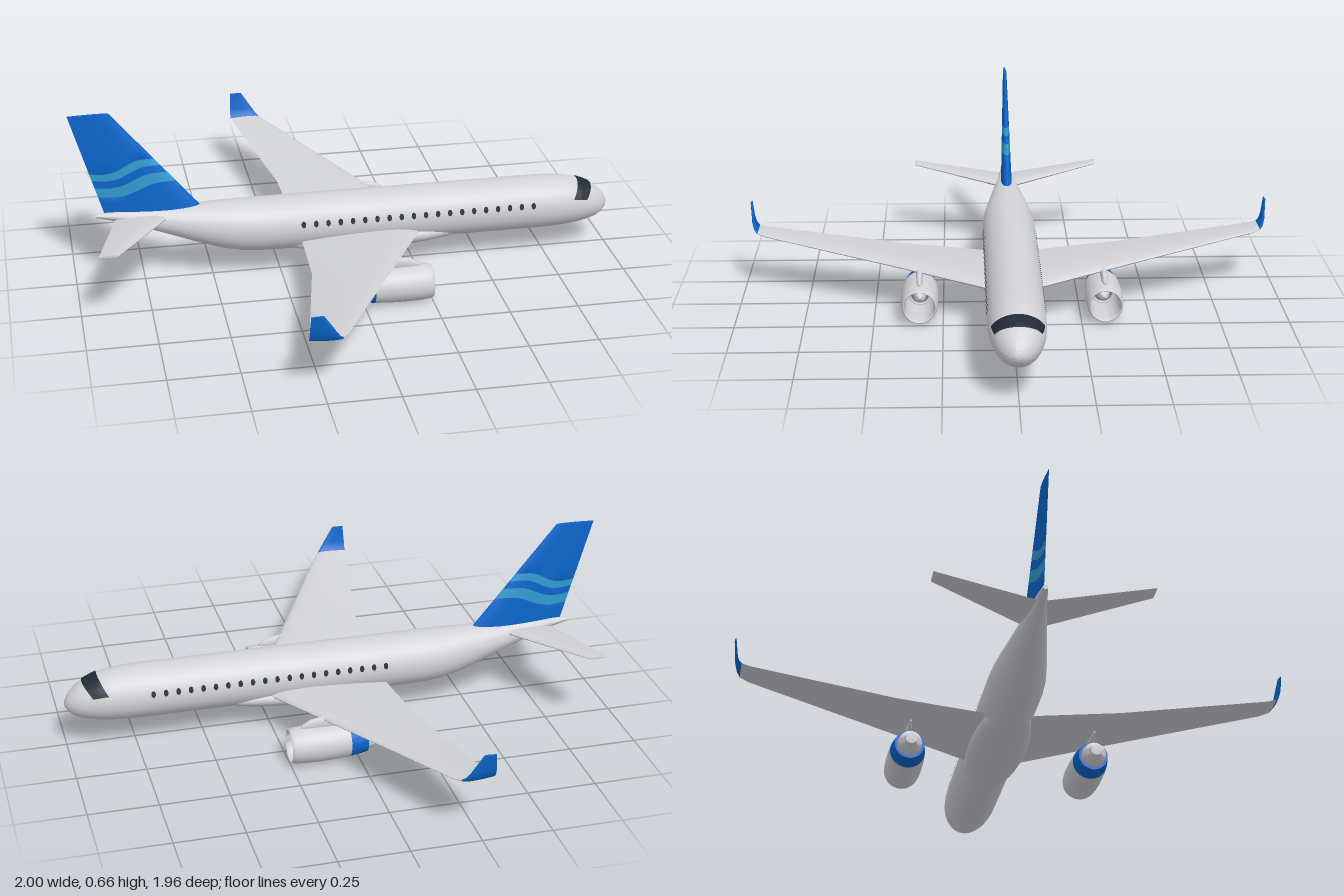
import * as THREE from 'three';
import { toCreasedNormals } from 'three/addons/utils/BufferGeometryUtils.js';

const paint = (name, color) => Object.assign(new THREE.MeshStandardMaterial({ color }), { name });
const lerp = THREE.MathUtils.lerp;

// Skin over a list of rings; each ring runs counter-clockwise about the direction of travel.
function loft(rings, { closed = true, caps = true, flip = false } = {}) {
  const n = rings[0].length, pos = rings.flat(2), idx = [];
  const tri = (a, b, c) => (flip ? idx.push(a, c, b) : idx.push(a, b, c));
  for (let j = 0; j < rings.length - 1; j++) {
    for (let i = 0; i < (closed ? n : n - 1); i++) {
      const a = j * n + i, b = j * n + (i + 1) % n;
      tri(a, b, b + n);
      tri(a, b + n, a + n);
    }
  }
  if (closed && caps) {
    [0, rings.length - 1].forEach((j) => {
      const c = pos.length / 3;
      for (let k = 0; k < 3; k++) pos.push(rings[j].reduce((s, p) => s + p[k], 0) / n);
      for (let i = 0; i < n; i++) {
        const a = j * n + i, b = j * n + (i + 1) % n;
        j ? tri(c, a, b) : tri(c, b, a);
      }
    });
  }
  const g = new THREE.BufferGeometry();
  g.setAttribute('position', new THREE.Float32BufferAttribute(pos, 3));
  g.setIndex(idx);
  return toCreasedNormals(g, 0.9);
}

// Symmetric airfoil outline as [chord fraction, half thickness], nose first and over the top.
const FOIL = Array.from({ length: 28 }, (_, i) => {
  const a = (i / 28) * Math.PI * 2, c = (1 - Math.cos(a)) / 2;
  const h = 5 * (0.2969 * Math.sqrt(c) - 0.126 * c - 0.3516 * c ** 2 + 0.2843 * c ** 3 - 0.1036 * c ** 4);
  return [c, i % 14 === 0 ? 0 : Math.sign(Math.sin(a)) * h];
});

// Wing-like surface: stations are [z, y, leading x, trailing x, thickness, lean].
function wingGeometry(stations, side, caps = true) {
  const rings = stations.map(([z, y, lead, trail, t, lean = 0]) => FOIL.map(([c, h]) => [
    lerp(lead, trail, c), y + h * t * Math.cos(lean), side * (z - h * t * Math.sin(lean))]));
  return loft(rings, { caps, flip: side < 0 });
}

// Fuselage stations: [x, top y, bottom y, half width].
const BODY = [
  [-0.915, 0.279, 0.263, 0.008], [-0.85, 0.284, 0.247, 0.019], [-0.75, 0.285, 0.215, 0.035],
  [-0.65, 0.286, 0.178, 0.053], [-0.55, 0.288, 0.14, 0.071], [-0.47, 0.29, 0.113, 0.085],
  [-0.4, 0.29, 0.098, 0.095], [-0.33, 0.29, 0.091, 0.099], [-0.25, 0.29, 0.09, 0.1],
  [0.72, 0.29, 0.09, 0.1], [0.78, 0.288, 0.091, 0.099], [0.84, 0.281, 0.095, 0.094],
  [0.88, 0.272, 0.1, 0.088], [0.92, 0.256, 0.108, 0.077], [0.95, 0.238, 0.117, 0.064],
  [0.975, 0.216, 0.131, 0.046], [0.99, 0.196, 0.146, 0.028], [0.998, 0.179, 0.16, 0.011], [1, 0.169, 0.168, 0.001],
];
function bodyPoint(x, a, lift = 0) {
  let k = 0;
  while (k < BODY.length - 2 && BODY[k + 1][0] < x) k++;
  const f = (x - BODY[k][0]) / (BODY[k + 1][0] - BODY[k][0]);
  const [, top, bottom, w] = BODY[k].map((v, i) => lerp(v, BODY[k + 1][i], f));
  return [x, (top + bottom) / 2 + ((top - bottom) / 2 + lift) * Math.cos(a), (w + lift) * Math.sin(a)];
}

export function createModel() {
  const grey = paint('body grey', 0xd2d3d6);
  const blue = paint('tail blue', 0x0b66cc);
  const sky = paint('stripe light blue', 0x319bd0);
  const dark = paint('window dark', 0x232a38);
  const metal = paint('fan grey', 0x77797f);

  const model = new THREE.Group();
  model.name = 'airliner';
  const add = (name, geometry, material, parent = model) => {
    const m = new THREE.Mesh(geometry, material);
    m.name = name;
    parent.add(m);
    return m;
  };

  // Fuselage and belly fairing
  const N = 40;
  add('fuselage', loft(BODY.map(([x]) =>
    Array.from({ length: N }, (_, i) => bodyPoint(x, (i / N) * Math.PI * 2)))), grey);
  const belly = new THREE.SphereGeometry(1, 40, 24).scale(0.39, 0.052, 0.108).translate(0.09, 0.126, 0);
  add('bellyFairing', belly, grey);

  // Cockpit window band wrapped over the nose
  const A = 1.2, band = [];
  for (let j = 0; j <= 8; j++) {
    band.push(Array.from({ length: 25 }, (_, i) => {
      const a = lerp(-A, A, i / 24), bow = 0.03 * (1 - (a / A) ** 2);
      return bodyPoint(lerp(0.848, 0.903, j / 8) + bow, a, 0.003);
    }));
  }
  add('cockpitWindow', loft(band, { closed: false }), dark);

  // Cabin windows
  const pane = new THREE.CircleGeometry(1, 12).scale(0.0085, 0.0125, 1);
  for (const side of [1, -1]) {
    for (let i = 0; i < 20; i++) {
      const x = 0.69 - i * 0.0455;
      const w = add('cabinWindow', pane, dark);
      w.position.set(...bodyPoint(x, side * 1.318, 0.0025));
      w.lookAt(...bodyPoint(x, side * 1.318, 1));
    }
  }

  // Tail fin, split into bands along wavy lines
  const wave = (c) => 0.045 * (1 - c) + 0.012 * Math.sin(c * Math.PI * 2);
  const finRing = (h, k) => FOIL.map(([c, s]) => {
    const y = h + k * wave(c), f = (y - 0.283) / 0.382;
    return [lerp(lerp(-0.537, -0.853, f), lerp(-0.888, -1, f), c), y, -s * lerp(0.042, 0.014, f)];
  });
  const levels = [[0.268, 0], [0.345, 1], [0.382, 1], [0.41, 1], [0.437, 1], [0.665, 0]];
  for (let i = 0; i < 5; i++) {
    const [a, b] = [levels[i], levels[i + 1]], rings = [];
    for (let j = 0; j <= 4; j++) rings.push(finRing(lerp(a[0], b[0], j / 4), lerp(a[1], b[1], j / 4)));
    add(i % 2 ? 'finStripe' : 'finPanel', loft(rings, { caps: i === 0 || i === 4 }), i % 2 ? sky : blue);
  }

  // Engine profiles as [radius, x]
  const turned = (points) => toCreasedNormals(
    new THREE.LatheGeometry(points.map((p) => new THREE.Vector2(...p)), 36).rotateZ(-Math.PI / 2), 0.7);
  const cowl = turned([[0.0635, 0.035], [0.067, 0.09], [0.068, 0.15], [0.067, 0.2], [0.064, 0.235],
    [0.061, 0.247], [0.058, 0.25], [0.055, 0.245], [0.053, 0.23], [0.055, 0.15], [0.055, 0.035]]);
  const rearCowl = turned([[0.055, 0.035], [0.043, -0.03], [0.053, -0.03], [0.0585, 0], [0.0635, 0.035]]);
  const core = turned([[0, -0.09], [0.02, -0.088], [0.026, -0.07], [0.041, -0.055], [0.044, -0.03],
    [0.043, 0.1], [0.041, 0.11], [0.035, 0.11], [0.033, 0.1]]);
  const fan = turned([[0.034, 0.1], [0, 0.1001]]);
  const spinner = turned([[0.024, 0.1], [0.022, 0.125], [0.014, 0.145], [0, 0.155]]);

  for (const side of [1, -1]) {
    const name = side > 0 ? 'left' : 'right';

    // Main wing with upturned blue tip
    add(name + 'Wing', wingGeometry([
      [0, 0.138, 0.3, -0.178, 0.046], [0.1, 0.145, 0.25, -0.18, 0.042], [0.4, 0.17, 0.098, -0.197, 0.028],
      [0.92, 0.209, -0.166, -0.295, 0.014], [0.95, 0.215, -0.185, -0.302, 0.012, 0.5]], side), grey);
    add(name + 'Winglet', wingGeometry([
      [0.95, 0.215, -0.185, -0.302, 0.012, 0.5], [0.96, 0.226, -0.197, -0.302, 0.011, 1],
      [0.967, 0.248, -0.212, -0.302, 0.01, 1.3], [0.975, 0.313, -0.254, -0.298, 0.007, 1.4]], side), blue);

    // Horizontal stabilizer
    add(name + 'Stabilizer', wingGeometry([
      [0, 0.254, -0.64, -0.848, 0.026], [0.03, 0.257, -0.66, -0.853, 0.025],
      [0.368, 0.287, -0.864, -0.934, 0.009]], side), grey);

    // Engine
    const engine = new THREE.Group();
    engine.name = name + 'Engine';
    engine.position.set(0, 0.07, side * 0.335);
    model.add(engine);
    add('engineCowl', cowl, grey, engine);
    add('engineRearCowl', rearCowl, blue, engine);
    add('engineCore', core, grey, engine);
    add('engineFan', fan, metal, engine);
    add('engineSpinner', spinner, grey, engine);

    // Pylon joining engine and wing: [x, centre y, half height, half width]
    const pylon = [[-0.06, 0.085, 0.008, 0.004], [0, 0.08, 0.022, 0.01], [0.1, 0.08, 0.028, 0.013],
      [0.17, 0.074, 0.022, 0.011], [0.2, 0.068, 0.012, 0.007], [0.21, 0.065, 0.002, 0.001]];
    add('enginePylon', loft(pylon.map(([x, y, h, w]) => Array.from({ length: 16 }, (_, i) => {
      const a = (i / 16) * Math.PI * 2;
      return [x, y + h * Math.cos(a), w * Math.sin(a)];
    }))), grey, engine);
  }
  return model;
}
